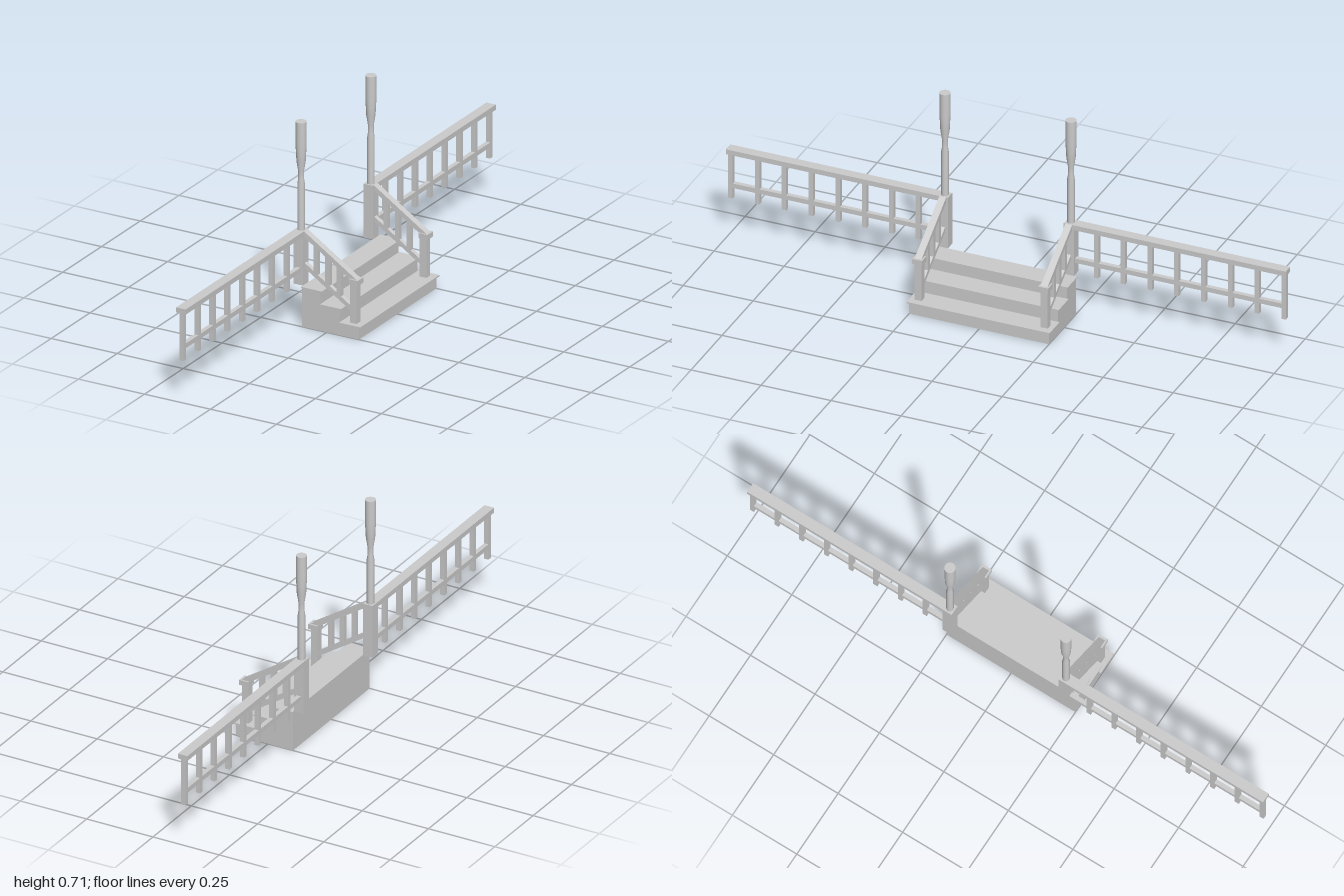
import * as THREE from 'three';

export function createModel() {
  const model = new THREE.Group();
  const material = new THREE.MeshStandardMaterial({ color: 0xcccccc });
  const smooth = material;

  const add = (parent, name, geometry) => {
    const mesh = new THREE.Mesh(geometry, smooth);
    mesh.name = name;
    parent.add(mesh);
    return mesh;
  };
  // Box given by its extents
  const box = (parent, name, x0, x1, y0, y1, z0, z1) =>
    add(parent, name, new THREE.BoxGeometry(x1 - x0, y1 - y0, z1 - z0))
      .position.set((x0 + x1) / 2, (y0 + y1) / 2, (z0 + z1) / 2);
  // Side profile in x and y, extruded along z and centred on zc
  const slab = (parent, name, points, width, zc) => {
    const shape = new THREE.Shape(points.map(([x, y]) => new THREE.Vector2(x, y)));
    const geometry = new THREE.ExtrudeGeometry(shape, { depth: width, bevelEnabled: false });
    return add(parent, name, geometry.translate(0, 0, zc - width / 2));
  };

  // Stepped base with thin overhanging treads
  const stairs = new THREE.Group();
  stairs.name = 'stairs';
  model.add(stairs);
  const back = -0.094;
  slab(stairs, 'stairBase', [
    [back, 0], [0.121, 0], [0.121, 0.043], [0.05, 0.043], [0.05, 0.092],
    [-0.023, 0.092], [-0.023, 0.139], [back, 0.139],
  ], 0.5, 0);
  [[0.05, 0.13, 0.043], [-0.023, 0.057, 0.092], [back, -0.015, 0.139]].forEach(
    ([x0, x1, y]) => box(stairs, 'tread', x0, x1, y, y + 0.0045, -0.256, 0.256));

  // Turned column profile, radius and height
  const column = [
    [0, 0.333], [0.0125, 0.333], [0.0125, 0.495], [0.01, 0.51], [0.01, 0.541],
    [0.0155, 0.575], [0.0165, 0.6], [0.0185, 0.632], [0.0185, 0.715], [0, 0.715],
  ];
  const postX = -0.112, railZ = 0.225;
  const slope = 0.653;
  const topY = (x) => 0.333 - slope * (x - back);
  const lowY = (x) => 0.22 - slope * (x - back);
  // Sloping bar between two x positions
  const bar = (x0, x1, edge, drop) => [
    [x0, edge(x0) - drop], [x1, edge(x1) - drop], [x1, edge(x1)], [x0, edge(x0)],
  ];

  for (const side of [1, -1]) {
    const railing = new THREE.Group();
    railing.name = side > 0 ? 'leftRailing' : 'rightRailing';
    model.add(railing);
    const zBox = (name, x0, x1, y0, y1, z0, z1) =>
      box(railing, name, x0, x1, y0, y1, Math.min(side * z0, side * z1), Math.max(side * z0, side * z1));

    // Corner post carrying the turned column
    zBox('cornerPost', -0.13, back, 0.143, 0.315, 0.207, 0.243);
    // Separate lathes per section keep the end caps crisp
    const profile = column.map(([r, y]) => new THREE.Vector2(r, y));
    [profile.slice(0, 2), profile.slice(1, -1), profile.slice(-2)].forEach((points) =>
      add(railing, 'column', new THREE.LatheGeometry(points, 20)).position.set(postX, 0, side * railZ));

    // Long level railing
    zBox('topRail', -0.13, back, 0.315, 0.333, 0.207, 1);
    zBox('lowerRail', -0.12, -0.104, 0.187, 0.204, 0.243, 0.988);
    for (let i = 0; i < 8; i++) {
      const z = 0.318 + i * 0.0957;
      zBox('baluster', -0.12, -0.104, 0.147, 0.315, z - 0.008, z + 0.008);
    }

    // Sloping stair railing with its newel
    const z = side * railZ;
    slab(railing, 'stairHandrail', bar(back, 0.105, topY, 0.02), 0.024, z);
    slab(railing, 'stairLowerRail', bar(back, 0.082, lowY, 0.018), 0.016, z);
    for (const x of [-0.0525, -0.008, 0.0355]) {
      const x0 = x - 0.008, x1 = x + 0.008;
      slab(railing, 'stairBaluster', [
        [x0, lowY(x0) - 0.005], [x1, lowY(x1) - 0.005],
        [x1, topY(x1) - 0.015], [x0, topY(x0) - 0.015],
      ], 0.016, z);
    }
    zBox('newelPost', 0.08, 0.105, 0.047, 0.2, railZ - 0.0125, railZ + 0.0125);
    zBox('newelCap', 0.078, 0.113, 0.185, 0.203, railZ - 0.018, railZ + 0.018);
  }
  return model;
}
